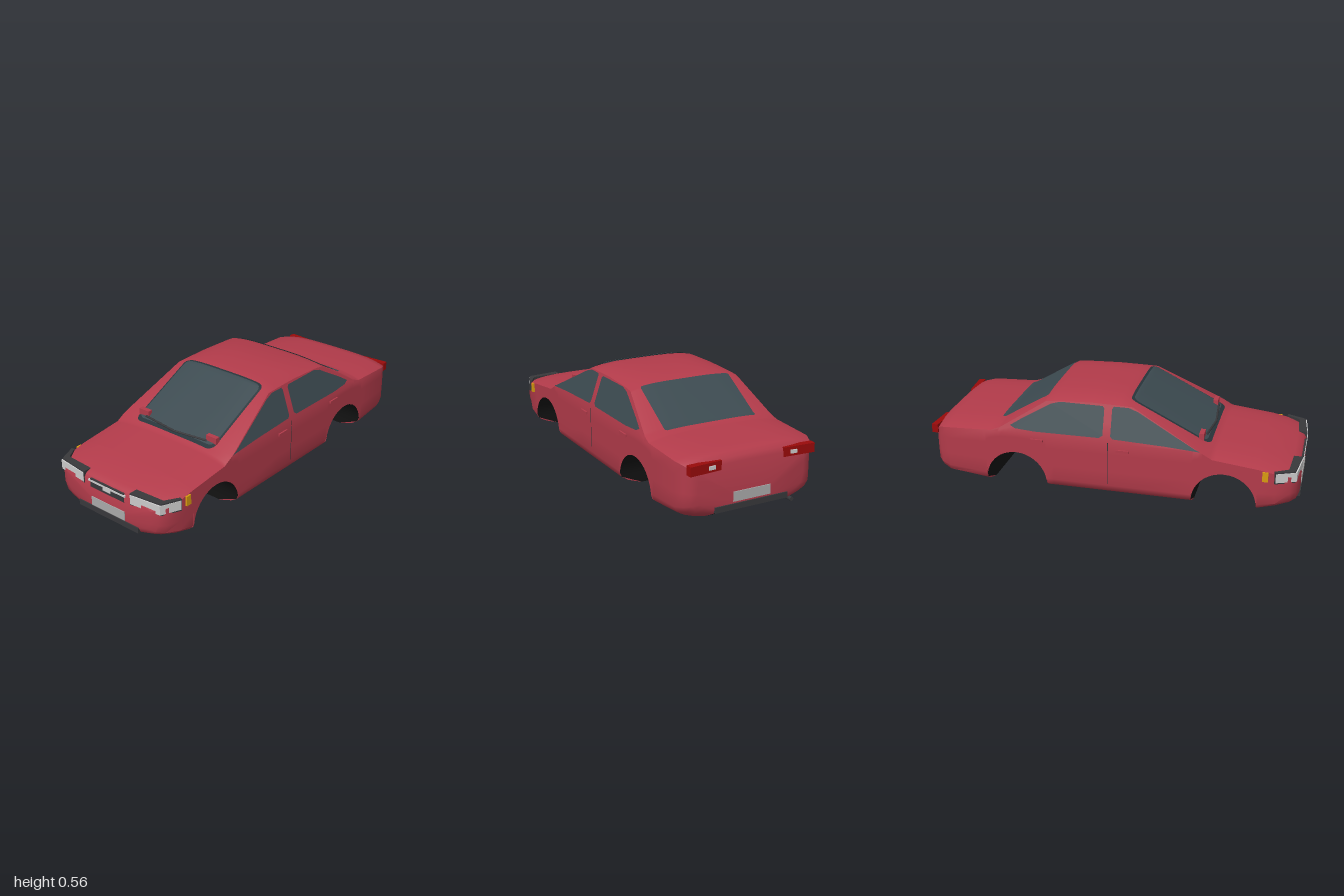
import * as THREE from 'three';
import { toCreasedNormals } from 'three/addons/utils/BufferGeometryUtils.js';

const mat = (color, side = THREE.FrontSide) => new THREE.MeshStandardMaterial({ color, side });
const RED = mat(0xb23b4a), GLASS = mat(0x3c4a50, THREE.DoubleSide), RIM = mat(0x28343a, THREE.DoubleSide);
const DARK = mat(0x38383b), BLACK = mat(0x131313, THREE.DoubleSide), GREY = mat(0xcccccc);
const PLATE = mat(0xaaaaaa), AMBER = mat(0xd89a10), TAIL = mat(0x990a0a);

// Body stations: z, centre height, crown drop, half width, sill height
const STATIONS = [
  [0.993, 0.235, 0.025, 0.29, 0.07], [0.98, 0.252, 0.025, 0.33, 0.055],
  [0.95, 0.264, 0.03, 0.36, 0.045], [0.88, 0.28, 0.03, 0.378, 0.025],
  [0.79, 0.297, 0.03, 0.38, 0], [0.55, 0.325, 0.03, 0.38, 0],
  [0.5, 0.345, 0.022, 0.38, 0], [0.12, 0.54, 0.022, 0.38, 0],
  [0.05, 0.553, 0.033, 0.38, 0], [-0.1, 0.555, 0.033, 0.38, 0],
  [-0.3, 0.547, 0.033, 0.38, 0], [-0.35, 0.53, 0.022, 0.38, 0],
  [-0.6, 0.375, 0.022, 0.38, 0], [-0.65, 0.365, 0.03, 0.38, 0],
  [-0.7, 0.363, 0.03, 0.38, 0], [-0.9, 0.355, 0.03, 0.378, 0.022],
  [-0.95, 0.345, 0.03, 0.36, 0.04], [-0.975, 0.325, 0.03, 0.335, 0.055],
  [-0.985, 0.3, 0.03, 0.3, 0.07]
];
const ARCHES = [0.615, -0.51], ARCH_R = 0.17, ARCH_Y = 0.05, BELT = 0.33;

function at(z) {
  let i = 0;
  while (i < STATIONS.length - 2 && z < STATIONS[i + 1][0]) i++;
  const a = STATIONS[i], b = STATIONS[i + 1];
  const k = THREE.MathUtils.clamp((a[0] - z) / (a[0] - b[0]), 0, 1);
  const [, top, crown, width, sill] = a.map((v, n) => v + (b[n] - v) * k);
  return { top, crown, width, sill };
}

// Half width at a height: rounded sill, upright flank, leaning cabin
function sideX(z, y) {
  const { width, sill } = at(z);
  const low = Math.max(0, 1 - (y - sill) / 0.08);
  return width - 0.13 * Math.pow(low, 2.5) - Math.max(0, y - BELT) * 0.34;
}

function topY(x, z) {
  const { top, crown } = at(z);
  return top - crown * Math.pow(Math.abs(x) / sideX(z, top - crown), 4);
}

function bottomY(z) {
  for (const c of ARCHES) {
    const d = Math.abs(z - c);
    if (d <= ARCH_R + 1e-6) return ARCH_Y + Math.sqrt(Math.max(0, ARCH_R ** 2 - d * d));
  }
  return at(z).sill;
}

// Skin between equal-length rows of [x, y, z] points
function loft(rows, crease = 0.7) {
  const n = rows[0].length, index = [];
  for (let i = 0; i < rows.length - 1; i++) {
    for (let j = 0; j < n - 1; j++) {
      const a = i * n + j, c = a + n;
      index.push(a, a + 1, c, a + 1, c + 1, c);
    }
  }
  const geo = new THREE.BufferGeometry();
  geo.setAttribute('position', new THREE.Float32BufferAttribute(rows.flat(2), 3));
  geo.setIndex(index);
  return toCreasedNormals(geo, crease);
}

// One body section from the right sill over the roof to the left sill
function section(z) {
  const { top, crown } = at(z), yb = bottomY(z), edge = top - crown, belt = Math.min(BELT, edge);
  const half = [];
  for (const k of [0, 0.03, 0.08, 0.15, 0.25, 0.5, 0.8, 1]) half.push(yb + (belt - yb) * k);
  half.push((belt + edge) / 2, edge);
  const left = half.map(y => [sideX(z, y), y, z]);
  const xe = sideX(z, edge);
  for (const u of [0.96, 0.9, 0.82, 0.7, 0.5, 0.25]) left.push([xe * u, topY(xe * u, z), z]);
  const right = left.map(([x, y]) => [-x, y, z]);
  return [...right, [0, top, z], ...left.reverse()];
}

// Glass following the roof slope, with rounded corners
function screenPatch(z0, z1, hw, r, lift) {
  const rows = [], n = 28;
  for (let i = 0; i <= n; i++) {
    const z = z0 + (z1 - z0) * (1 - Math.cos(Math.PI * i / n)) / 2;
    const d = Math.min(Math.abs(z - z0), Math.abs(z - z1), r);
    const w = hw - r + Math.sqrt(r * r - (r - d) ** 2);
    const row = [];
    for (let j = -8; j <= 8; j++) row.push([w * j / 8, topY(w * j / 8, z) + lift, z]);
    rows.push(row);
  }
  return loft(rows);
}

// Side pane drawn in (z, y) and laid on the leaning cabin wall
function sidePane(points, side, lift) {
  const geo = new THREE.ShapeGeometry(new THREE.Shape(points.map(p => new THREE.Vector2(...p))));
  const p = geo.attributes.position;
  for (let i = 0; i < p.count; i++) {
    const z = p.getX(i), y = p.getY(i);
    p.setXYZ(i, side * (sideX(z, y) + lift), y, z);
  }
  geo.computeVertexNormals();
  return geo;
}

export function createModel() {
  const car = new THREE.Group();
  car.name = 'car';
  const add = (name, geo, material, x = 0, y = 0, z = 0) => {
    const m = new THREE.Mesh(geo, material);
    m.name = name;
    m.position.set(x, y, z);
    car.add(m);
    return m;
  };
  const box = (name, material, w, h, d, x, y, z) =>
    add(name, new THREE.BoxGeometry(w, h, d), material, x, y, z);

  // Painted shell and black underside share the same stations
  const zs = STATIONS.map(s => s[0]);
  for (const c of ARCHES) {
    zs.push(c + ARCH_R + 0.0005, c - ARCH_R - 0.0005);
    for (let i = 0; i <= 20; i++) zs.push(c + ARCH_R * Math.cos(Math.PI * i / 20));
  }
  zs.sort((a, b) => b - a);
  const rows = zs.map(section);
  const collapse = row => row.map(() => [0, row[0][1], row[0][2]]);
  add('bodyShell', loft([collapse(rows[0]), ...rows, collapse(rows[rows.length - 1])]), RED);
  add('underside', loft(zs.map(z => {
    const y = bottomY(z), x = sideX(z, y);
    return [1, 0.5, 0, -0.5, -1].map(k => [x * k, y, z]);
  })), BLACK);

  // Windscreens
  add('windscreenSeal', screenPatch(0.095, 0.525, 0.27, 0.04, 0.004), RIM);
  add('windscreen', screenPatch(0.11, 0.505, 0.26, 0.035, 0.007), GLASS);
  add('rearScreen', screenPatch(-0.35, -0.62, 0.265, 0.012, 0.005), GLASS);

  const frontPane = [[0.49, 0.332], [0.46, 0.343], [0.3, 0.423], [0.15, 0.498], [0.1, 0.514],
    [0.02, 0.514], [0.012, 0.5], [0.012, 0.365], [0.025, 0.352], [0.3, 0.343]];
  const rearPane = [[-0.03, 0.365], [-0.03, 0.5], [-0.04, 0.512], [-0.27, 0.513], [-0.32, 0.5],
    [-0.4, 0.455], [-0.48, 0.41], [-0.54, 0.372], [-0.51, 0.358], [-0.4, 0.351], [-0.05, 0.352]];

  // Wrap-round lamp outline seen from above
  const lampShape = grow => new THREE.Shape([[0.165 - grow, 0.95], [0.165 - grow, 0.997],
    [0.345, 0.978 - grow], [0.388, 0.875], [0.372, 0.87], [0.33, 0.94]]
    .map(p => new THREE.Vector2(...p)));
  const lampGeo = (h, grow) =>
    new THREE.ExtrudeGeometry(lampShape(grow), { depth: h, bevelEnabled: false })
      .rotateX(Math.PI / 2);

  for (const s of [1, -1]) {
    const side = s > 0 ? 'left' : 'right';
    add(side + 'FrontWindow', sidePane(frontPane, s, 0.004), GLASS);
    add(side + 'RearWindow', sidePane(rearPane, s, 0.004), GLASS);

    // Headlamps: bright lens in a darker housing
    for (const [name, h, grow, y, m] of [['Headlamp', 0.05, 0, 0.257, GREY],
      ['HeadlampHousing', 0.064, 0.004, 0.264, DARK]]) {
      const geo = lampGeo(h, grow);
      if (s < 0) {
        geo.scale(-1, 1, 1);
        const p = geo.attributes.position.array;
        for (let i = 0; i < p.length; i += 9)
          for (let k = 0; k < 3; k++) [p[i + 3 + k], p[i + 6 + k]] = [p[i + 6 + k], p[i + 3 + k]];
        geo.computeVertexNormals();
      }
      add(side + name, geo, m, 0, y, m === GREY ? 0.003 : -0.001);
    }
    box(side + 'SideIndicator', AMBER, 0.02, 0.052, 0.03, s * 0.379, 0.233, 0.825);

    // Tail lamps
    const yaw = s * 0.07;
    box(side + 'TailLamp', TAIL, 0.175, 0.048, 0.035, s * 0.265, 0.298, -0.977).rotation.y = yaw;
    box(side + 'RearIndicator', AMBER, 0.055, 0.018, 0.01, s * 0.3, 0.297, -0.991).rotation.y = yaw;
    box(side + 'ReverseLamp', GREY, 0.035, 0.018, 0.01, s * 0.232, 0.297, -0.994).rotation.y = yaw;

    // Door furniture
    box(side + 'FrontHandle', RED, 0.016, 0.014, 0.07, s * 0.381, 0.29, 0.08);
    box(side + 'RearHandle', RED, 0.016, 0.014, 0.07, s * 0.381, 0.303, -0.39);
    box(side + 'DoorSeam', DARK, 0.004, 0.24, 0.003, s * 0.379, 0.21, 0);

    // Mirror and wiper
    box(side + 'Mirror', RED, 0.068, 0.036, 0.026, s * 0.236, 0.367, 0.475);
    const arm = new THREE.LineCurve3(new THREE.Vector3(s * 0.215, 0.358, 0.493),
      new THREE.Vector3(0, 0.35, 0.512));
    add(side + 'Wiper', new THREE.TubeGeometry(arm, 1, 0.006, 6), DARK);
  }

  // Nose
  box('grille', DARK, 0.234, 0.048, 0.03, 0, 0.219, 0.982);
  box('grilleBar', GREY, 0.256, 0.01, 0.02, 0, 0.232, 0.99);
  box('grilleCentre', GREY, 0.052, 0.026, 0.02, 0, 0.222, 0.99);
  box('frontPlate', PLATE, 0.232, 0.05, 0.014, 0, 0.114, 0.99);
  box('frontBumperStrip', DARK, 0.416, 0.03, 0.03, 0, 0.071, 0.984);

  // Tail
  box('rearPlate', PLATE, 0.21, 0.05, 0.014, 0, 0.125, -0.983);
  box('rearBumperStrip', DARK, 0.416, 0.03, 0.03, 0, 0.075, -0.976);
  const pipe = new THREE.CylinderGeometry(0.011, 0.011, 0.08, 12).rotateX(Math.PI / 2);
  add('exhaustPipe', pipe, DARK, -0.25, 0.034, -0.93);
  return car;
}
